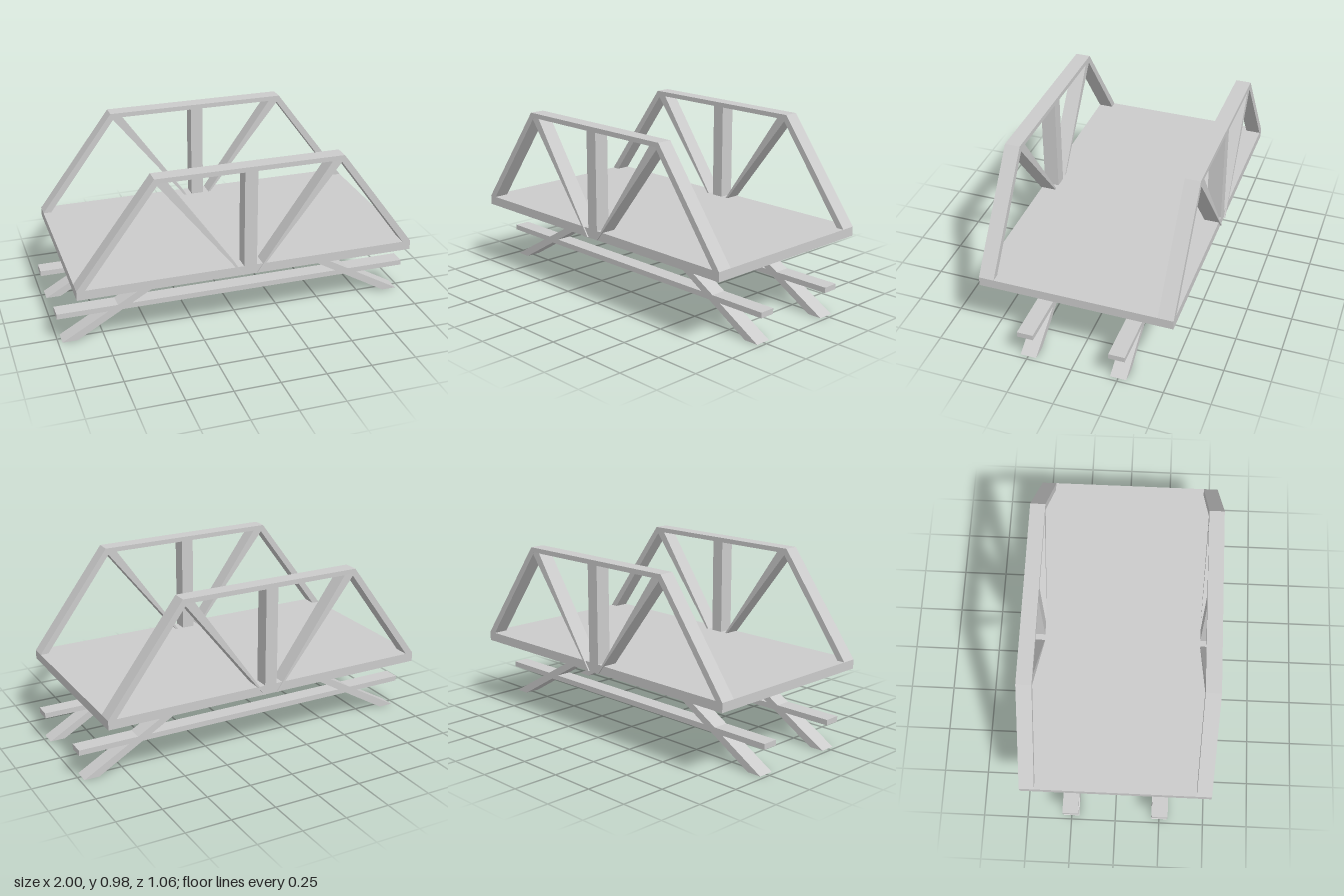
import * as THREE from 'three';

const material = new THREE.MeshStandardMaterial({ color: 0xcccccc, flatShading: true });

// Flat outline in x/y, given a thickness from z0 to z1
function slab(name, points, z0, z1) {
  const shape = new THREE.Shape(points.map(([x, y]) => new THREE.Vector2(x, y)));
  const geometry = new THREE.ExtrudeGeometry(shape, { depth: z1 - z0, bevelEnabled: false });
  geometry.translate(0, 0, z0);
  const mesh = new THREE.Mesh(geometry, material);
  mesh.name = name;
  return mesh;
}

function box(name, x0, x1, y0, y1, z0, z1) {
  const geometry = new THREE.BoxGeometry(x1 - x0, y1 - y0, z1 - z0);
  geometry.translate((x0 + x1) / 2, (y0 + y1) / 2, (z0 + z1) / 2);
  const mesh = new THREE.Mesh(geometry, material);
  mesh.name = name;
  return mesh;
}

// Tapered brace: wide at the top chord, nearly a point beside the post foot
function brace(name, sx, sz) {
  const geometry = new THREE.BoxGeometry(1, 1, 1);
  const p = geometry.attributes.position;
  for (let i = 0; i < p.count; i++) {
    const top = p.getY(i) > 0;
    const right = p.getX(i) > 0;
    const front = p.getZ(i) > 0;
    // Pick mirrored corners so the faces keep their winding
    const outerX = right === (sx > 0);
    const outerZ = front === (sz > 0);
    const x = top ? (outerX ? 0.505 : 0.445) : (outerX ? 0.042 : 0.034);
    const z = outerZ ? (top ? 0.521 : 0.53) : 0.44;
    p.setXYZ(i, sx * x, top ? 0.96 : 0.375, sz * z);
  }
  geometry.computeVertexNormals();
  const mesh = new THREE.Mesh(geometry, material);
  mesh.name = name;
  return mesh;
}

export function createModel() {
  const model = new THREE.Group();
  model.name = 'trussBridge';

  model.add(box('deck', -0.925, 0.925, 0.373, 0.424, -0.522, 0.522));

  for (const sz of [1, -1]) {
    const side = sz > 0 ? 'front' : 'back';
    const span = (a, b) => (sz > 0 ? [a, b] : [-b, -a]);
    const [t0, t1] = span(0.44, 0.522);
    const [l0, l1] = span(0.206, 0.294);

    // Truss: sloped end posts and top chord in one frame
    const truss = new THREE.Group();
    truss.name = side + 'Truss';
    truss.add(slab('trussFrame', [
      [-0.925, 0.373], [-0.88, 0.373], [-0.88, 0.424], [-0.486, 0.957],
      [0.486, 0.957], [0.88, 0.424], [0.88, 0.373], [0.925, 0.373],
      [0.925, 0.424], [0.508, 0.983], [-0.508, 0.983], [-0.925, 0.424],
    ], t0, t1));
    truss.add(box('centrePost', -0.035, 0.035, 0.373, 0.96, t0, t1));
    truss.add(brace('leftBrace', 1, sz), brace('rightBrace', -1, sz));
    model.add(truss);

    // Support: long rail crossed by two slanted legs
    const support = new THREE.Group();
    support.name = side + 'Support';
    support.add(box('rail', -1, 1, 0.147, 0.177, l0, l1));
    for (const sx of [1, -1]) {
      const outline = [[0.978, 0], [0.895, 0], [0.262, 0.368], [0.335, 0.368]];
      support.add(slab(sx > 0 ? 'leftLeg' : 'rightLeg', outline.map(([x, y]) => [sx * x, y]), l0, l1));
    }
    model.add(support);
  }
  return model;
}
